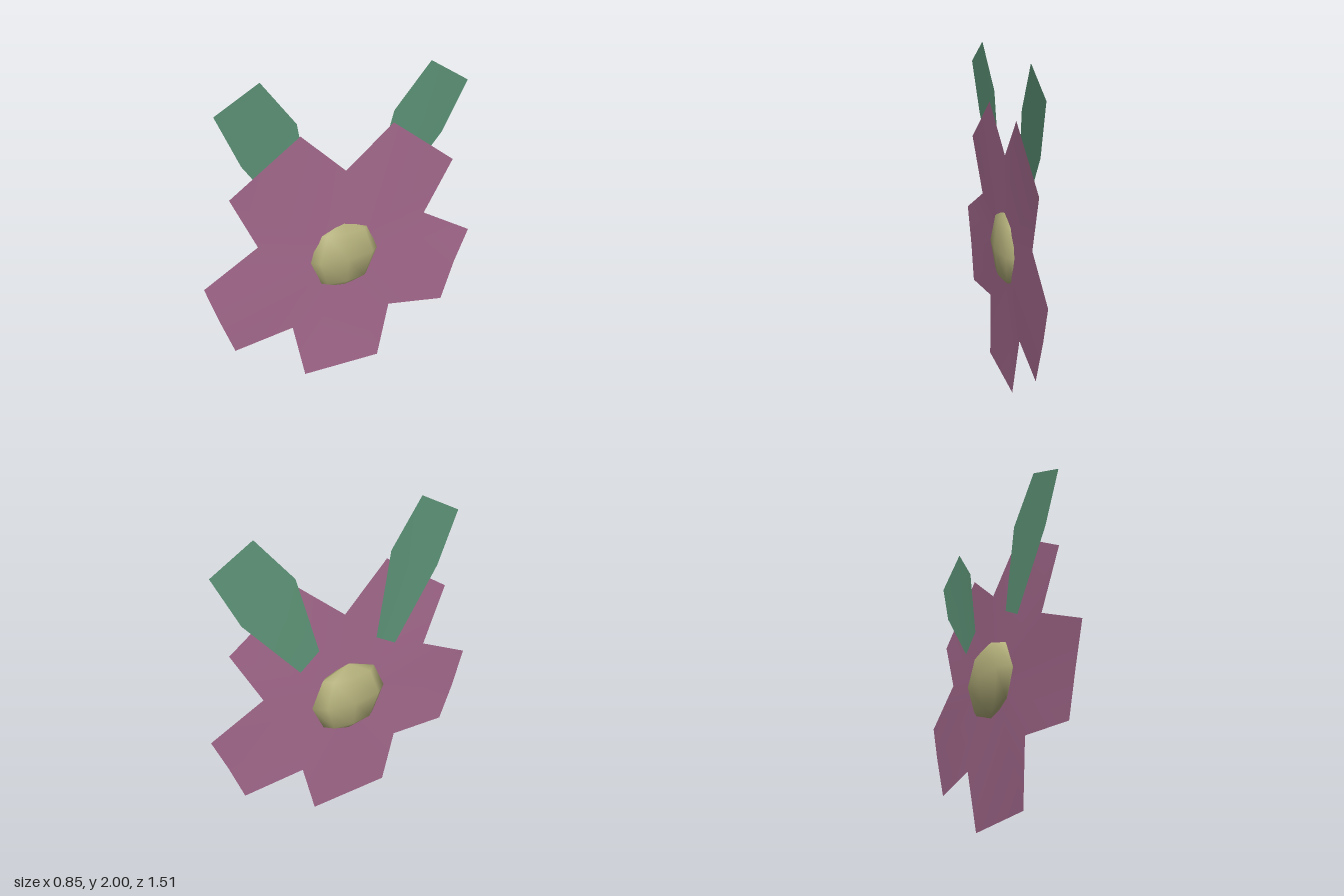
import * as THREE from 'three';

const pink = new THREE.MeshStandardMaterial({ color: 0xa86c90, side: THREE.DoubleSide });
pink.name = 'petal pink';
const green = new THREE.MeshStandardMaterial({ color: 0x5f9679, side: THREE.DoubleSide });
green.name = 'leaf green';
const yellow = new THREE.MeshStandardMaterial({ color: 0xb8b47e });
yellow.name = 'centre yellow';

// Thin sheet: a fan from a hub point around a closed outline of [x, y, z] points
function sheet(name, hub, outline, material) {
  const n = outline.length;
  const index = [];
  for (let i = 0; i < n; i++) index.push(0, 1 + ((i + 1) % n), 1 + i);
  const geometry = new THREE.BufferGeometry();
  geometry.setAttribute('position', new THREE.Float32BufferAttribute([hub, ...outline].flat(), 3));
  geometry.setIndex(index);
  geometry.computeVertexNormals();
  const mesh = new THREE.Mesh(geometry, material);
  mesh.name = name;
  return mesh;
}

// Mean of the outline, used as the hub of a leaf
function middle(points) {
  return [0, 1, 2].map((k) => points.reduce((sum, p) => sum + p[k], 0) / points.length);
}

export function createModel() {
  const model = new THREE.Group();
  model.name = 'flower';

  // Five square-ended petals, slightly cupped; facing +x and a little +z
  const petals = [
    [-0.01, 1.40, -0.02], [0.145, 1.65, -0.26], [0.345, 1.34, -0.615],
    [0.245, 1.00, -0.48], [0.42, 0.81, -0.755], [0.375, 0.585, -0.685], [0.34, 0.32, -0.605],
    [0.135, 0.375, -0.285], [0.11, 0, -0.205], [-0.14, 0.015, 0.245],
    [-0.19, 0.395, 0.29], [-0.355, 0.36, 0.63], [-0.395, 0.6, 0.695], [-0.425, 0.85, 0.76],
    [-0.28, 1.03, 0.455], [-0.33, 1.38, 0.60], [-0.13, 1.67, 0.23],
  ];
  model.add(sheet('petals', [-0.025, 0.84, 0], petals, pink));

  // Two leaves behind the upper petals
  const leaves = {
    rightLeaf: [
      [-0.24, 2.0, 0.405], [-0.16, 1.73, 0.22], [-0.127, 1.2, 0.138],
      [-0.19, 1.12, 0.253], [-0.31, 1.55, 0.51], [-0.36, 1.86, 0.63],
    ],
    leftLeaf: [
      [0.37, 1.825, -0.675], [0.285, 1.52, -0.565], [0.114, 1.125, -0.296],
      [0.055, 1.23, -0.19], [0.13, 1.71, -0.285], [0.25, 1.975, -0.46],
    ],
  };
  for (const [name, outline] of Object.entries(leaves)) {
    model.add(sheet(name, middle(outline), outline, green));
  }

  // Flattened low-poly ball through the middle of the petals
  const centre = new THREE.Mesh(new THREE.SphereGeometry(1, 8, 4), yellow);
  centre.name = 'centre';
  centre.scale.set(0.085, 0.238, 0.245);
  centre.rotation.y = -Math.atan2(0.485, 0.874);
  centre.position.set(-0.034, 0.838, -0.02);
  model.add(centre);

  return model;
}
